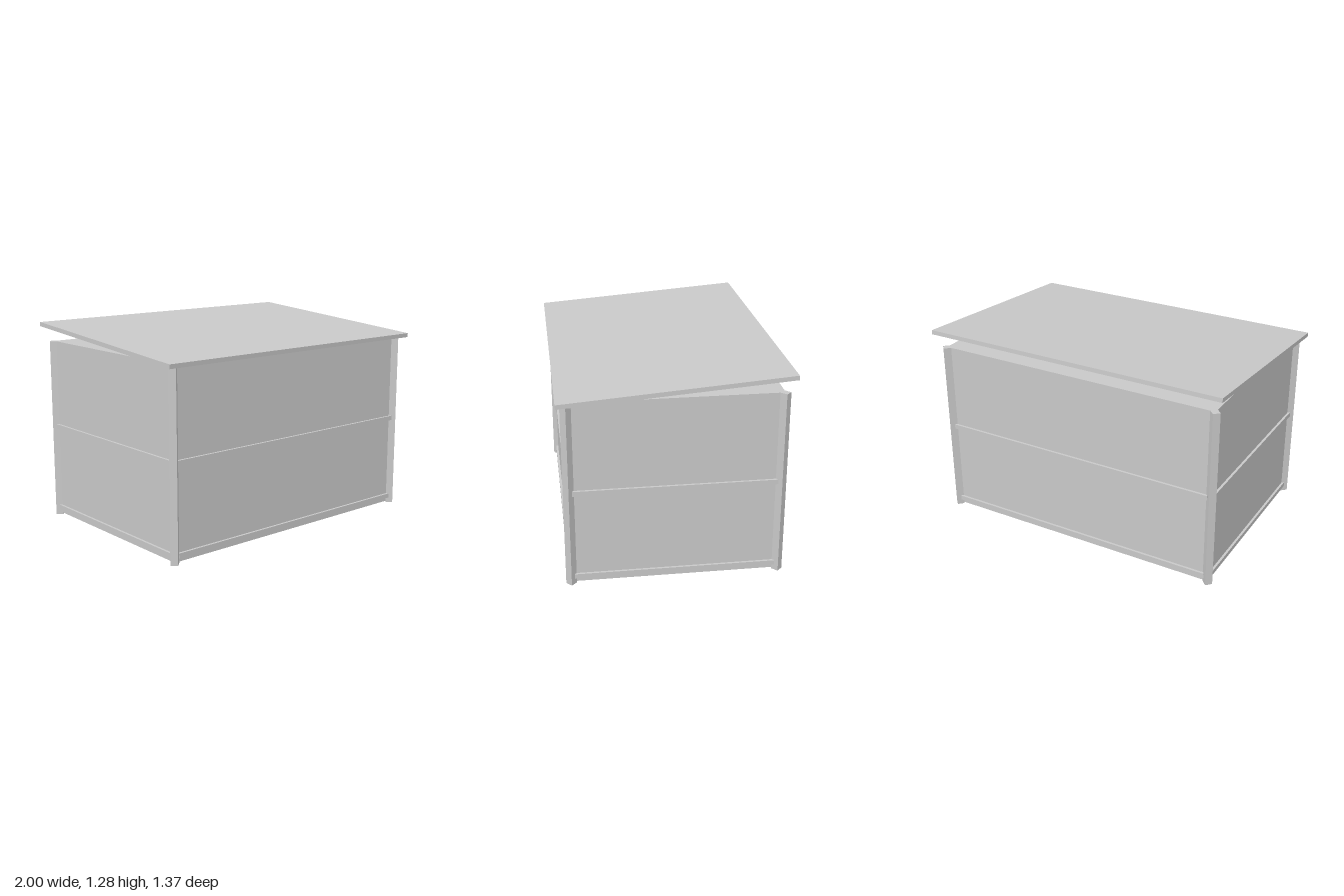
import * as THREE from 'three';

export function createModel() {
  const model = new THREE.Group();
  const grey = new THREE.MeshStandardMaterial({ color: 0xc8c8c8, flatShading: true });
  grey.name = 'light grey';

  const halfX = 0.936, halfZ = 0.628; // wall planes, also the post centres

  function add(name, geometry, x, y, z) {
    const mesh = new THREE.Mesh(geometry, grey);
    mesh.name = name;
    mesh.position.set(x, y, z);
    model.add(mesh);
    return mesh;
  }

  // Closed body, raised slightly on the posts
  add('body', new THREE.BoxGeometry(halfX * 2, 1.15, halfZ * 2), 0, 0.585, 0);

  // Four-sided corner posts, set diagonally
  const postGeometry = new THREE.CylinderGeometry(0.032, 0.032, 1.16, 4);
  for (const sx of [-1, 1]) {
    for (const sz of [-1, 1]) add('cornerPost', postGeometry, sx * halfX, 0.58, sz * halfZ);
  }

  // Horizontal rails around the foot and the middle of the walls
  const longRail = new THREE.BoxGeometry(1.83, 0.03, 0.03);
  const shortRail = new THREE.BoxGeometry(0.03, 0.03, 1.215);
  for (const y of [0.05, 0.6]) {
    for (const s of [-1, 1]) {
      add('longRail', longRail, 0, y, s * halfZ);
      add('sideRail', shortRail, s * halfX, y, 0);
    }
  }

  // Thin slab roof sloping down to the front
  const roof = add('roof', new THREE.BoxGeometry(2, 0.027, 1.375), 0, 1.216, 0);
  roof.rotation.x = 0.0766;

  return model;
}
